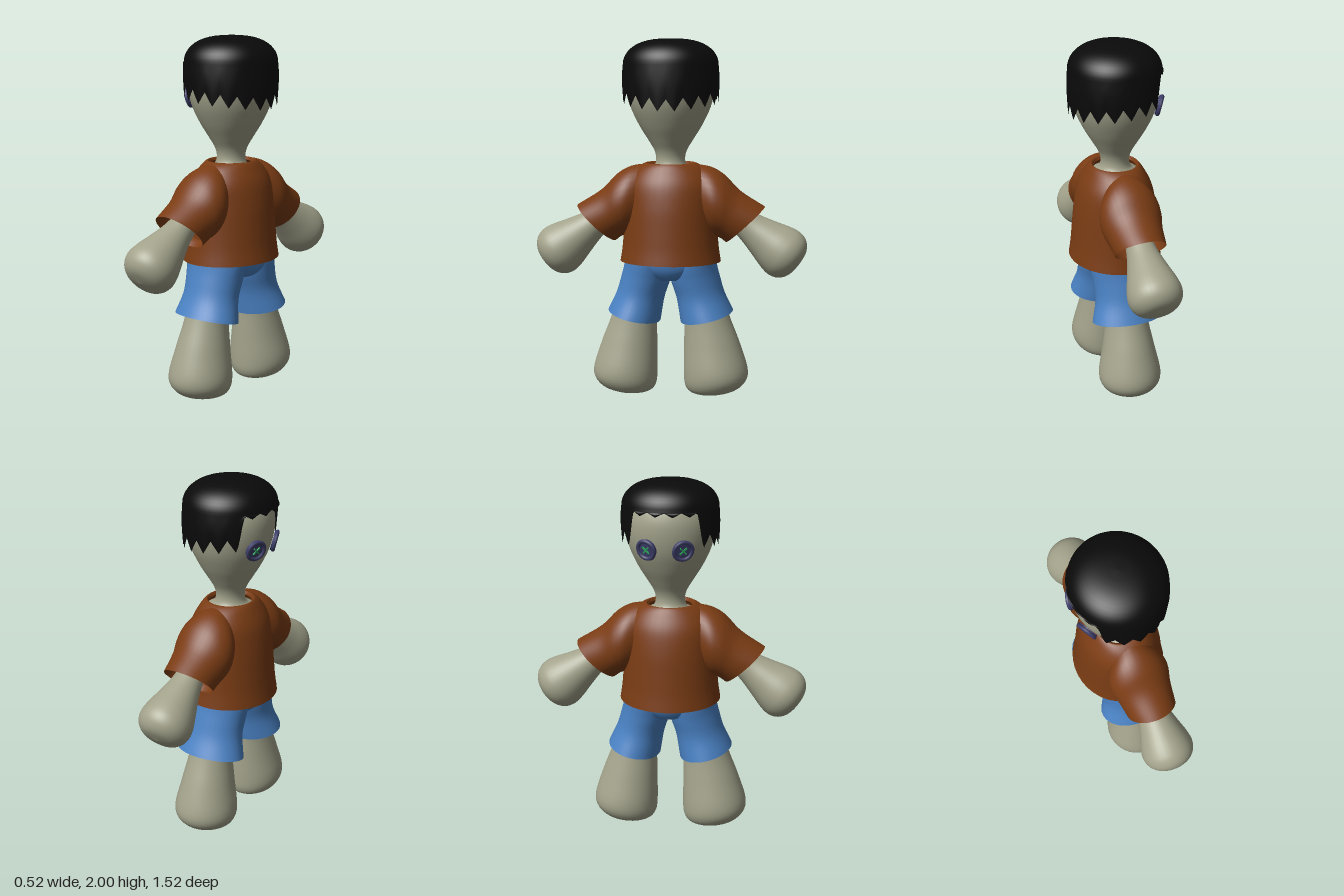
import * as THREE from 'three';

const mat = (color) => new THREE.MeshStandardMaterial({ color, side: THREE.DoubleSide });
const skin = mat(0xa3a38c), brown = mat(0x7a3c14), blue = mat(0x4a82c4);
const black = mat(0x0a0a0a), purple = mat(0x3f3f6b), green = mat(0x2fae62);

// Smooth tube surface, closed around v; fn(u, v) gives a point.
function grid(fn, nu, nv, flip = false) {
  const pos = [], idx = [];
  for (let i = 0; i <= nu; i++)
    for (let j = 0; j < nv; j++) pos.push(...fn(i / nu, (j / nv) * Math.PI * 2));
  for (let i = 0; i < nu; i++)
    for (let j = 0; j < nv; j++) {
      const k = (j + 1) % nv;
      const a = i * nv + j, b = a + nv, c = i * nv + k, d = c + nv;
      if (flip) idx.push(a, c, b, b, c, d);
      else idx.push(a, b, c, b, d, c);
    }
  const g = new THREE.BufferGeometry();
  g.setAttribute('position', new THREE.Float32BufferAttribute(pos, 3));
  g.setIndex(idx);
  g.computeVertexNormals();
  return g;
}

// Oval sections: [z, y] of one end, [z, y] of the other end, half depth in x.
function loft(sections, side = 1, tilt = 0) {
  const curve = (k) => new THREE.CatmullRomCurve3(
    sections.map((s) => new THREE.Vector3(s[k], s[k + 1], s[4])), false, 'catmullrom', 0.5);
  const A = curve(0), B = curve(2);
  return grid((u, v) => {
    const a = A.getPoint(u), b = B.getPoint(u), c = Math.cos(v);
    const x = Math.max(0, a.z) * Math.sin(v);
    return [x, (a.y + b.y) / 2 + ((b.y - a.y) / 2) * c + tilt * u * x,
      side * ((a.x + b.x) / 2 + ((b.x - a.x) / 2) * c)];
  }, (sections.length - 1) * 5, 36, side < 0);
}

// Upright section: height, centre z, half width, half depth.
const level = ([y, zc, rz, rx]) => [zc - rz, y, zc + rz, y, rx];

export function createModel() {
  const model = new THREE.Group();
  const add = (name, geo, material, parent = model) => {
    const m = new THREE.Mesh(geo, material);
    m.name = name;
    parent.add(m);
    return m;
  };

  // Head, neck and the skin inside the collar
  const head = [[1.97, 0.001], [1.95, 0.1], [1.9, 0.19], [1.82, 0.23], [1.73, 0.235], [1.63, 0.215],
    [1.53, 0.17], [1.45, 0.122], [1.39, 0.088], [1.34, 0.078], [1.3, 0.092], [1.27, 0.14], [1.2, 0.16]];
  add('head', loft(head.map(([y, r]) => level([y, 0, r * 1.03, r]))), skin);

  // Hair cap: round crown, then a skirt with a jagged hem that rises over the face
  add('hair', grid((u, v) => {
    let r, y;
    if (u < 0.6) {
      const p = (u / 0.6) * Math.PI / 2;
      r = 0.25 * Math.pow(Math.sin(p), 0.75);
      y = 1.86 + 0.14 * Math.cos(p);
    } else {
      const t = (u - 0.6) / 0.4;
      const a = Math.abs(Math.atan2(Math.cos(v), -Math.sin(v)));
      const step = THREE.MathUtils.smoothstep(a, 0.66, 0.85);
      const tooth = Math.abs((((v / Math.PI / 2) * 18 + 0.5) % 1) * 2 - 1) * 2 - 1;
      const hem = THREE.MathUtils.lerp(1.848, 1.725 - 0.026 * a, step)
        + tooth * THREE.MathUtils.lerp(0.012, 0.034, step);
      r = 0.25 + 0.005 * Math.sin(t * Math.PI);
      y = THREE.MathUtils.lerp(1.86, hem, t);
    }
    return [r * Math.sin(v), y, 1.05 * r * Math.cos(v)];
  }, 20, 144), black);

  // Shirt body, open at collar and hem
  const shirt = [[1.305, 0, 0.12, 0.115], [1.32, 0, 0.14, 0.13], [1.28, 0, 0.2, 0.16], [1.2, 0, 0.245, 0.2],
    [1.08, 0, 0.255, 0.225], [0.95, 0, 0.262, 0.238], [0.85, 0, 0.27, 0.247], [0.77, 0, 0.282, 0.258]];
  add('shirtBody', loft(shirt.map(level), 1, 0.03), brown);

  // Seat of the shorts
  const seat = [[0.92, 0, 0.24, 0.2], [0.78, 0, 0.253, 0.198], [0.71, 0, 0.19, 0.175],
    [0.675, 0, 0.09, 0.13], [0.665, 0, 0.001, 0.001]];
  add('shortsSeat', loft(seat.map(level)), blue);

  for (const side of [1, -1]) {
    const label = side > 0 ? 'left' : 'right';

    // Short sleeve, flaring to an open cuff
    add(label + 'Sleeve', loft([[0.14, 0.96, 0.13, 1.315, 0.12], [0.23, 0.92, 0.22, 1.3, 0.165],
      [0.265, 0.91, 0.3, 1.255, 0.168], [0.285, 0.9, 0.39, 1.165, 0.152],
      [0.31, 0.88, 0.525, 1.08, 0.138]], side), brown);

    // Arm swelling into a rounded mitten
    const arm = [[0, 0.07], [0.2, 0.073], [0.3, 0.085], [0.4, 0.112], [0.49, 0.139], [0.55, 0.146],
      [0.6, 0.128], [0.635, 0.082], [0.648, 0.001]];
    add(label + 'Arm', loft(arm.map(([s, r]) => {
      const z = 0.2 + 0.796 * s, y = 1.15 - 0.605 * s;
      return [z - 0.605 * r, y - 0.796 * r, z + 0.605 * r, y + 0.796 * r, r];
    }), side), skin);

    // Leg swelling into a rounded foot
    const leg = [[0.75, 0.145, 0.1, 0.1], [0.48, 0.2, 0.125, 0.115], [0.3, 0.235, 0.158, 0.145],
      [0.14, 0.258, 0.182, 0.175], [0.06, 0.245, 0.162, 0.155], [0.02, 0.22, 0.105, 0.1],
      [0.003, 0.205, 0.001, 0.001]];
    add(label + 'Leg', loft(leg.map(level), side), skin);

    // Flared leg of the shorts, open at the hem
    add(label + 'ShortsLeg', loft([[0.0, 0.86, 0.245, 0.86, 0.19], [-0.01, 0.76, 0.258, 0.76, 0.185],
      [0.0, 0.67, 0.278, 0.68, 0.173], [0.035, 0.56, 0.305, 0.59, 0.168],
      [0.058, 0.425, 0.352, 0.49, 0.197]], side), blue);

    // Button eye with a raised rim and crossed thread
    const eye = new THREE.Group();
    eye.name = label + 'Eye';
    add('buttonDisc', new THREE.CylinderGeometry(0.055, 0.055, 0.016, 28).rotateX(Math.PI / 2), purple, eye);
    add('buttonRim', new THREE.TorusGeometry(0.05, 0.011, 8, 28), purple, eye).position.z = 0.007;
    for (const turn of [1, -1]) {
      const thread = add('thread', new THREE.BoxGeometry(0.05, 0.008, 0.008), green, eye);
      thread.position.z = 0.011;
      thread.rotation.z = turn * Math.PI / 4;
    }
    eye.position.set(-0.214, 1.66, side * 0.095);
    eye.lookAt(-0.214 - 0.9, 1.66 - 0.25, side * (0.095 + 0.42));
    model.add(eye);
  }
  return model;
}
